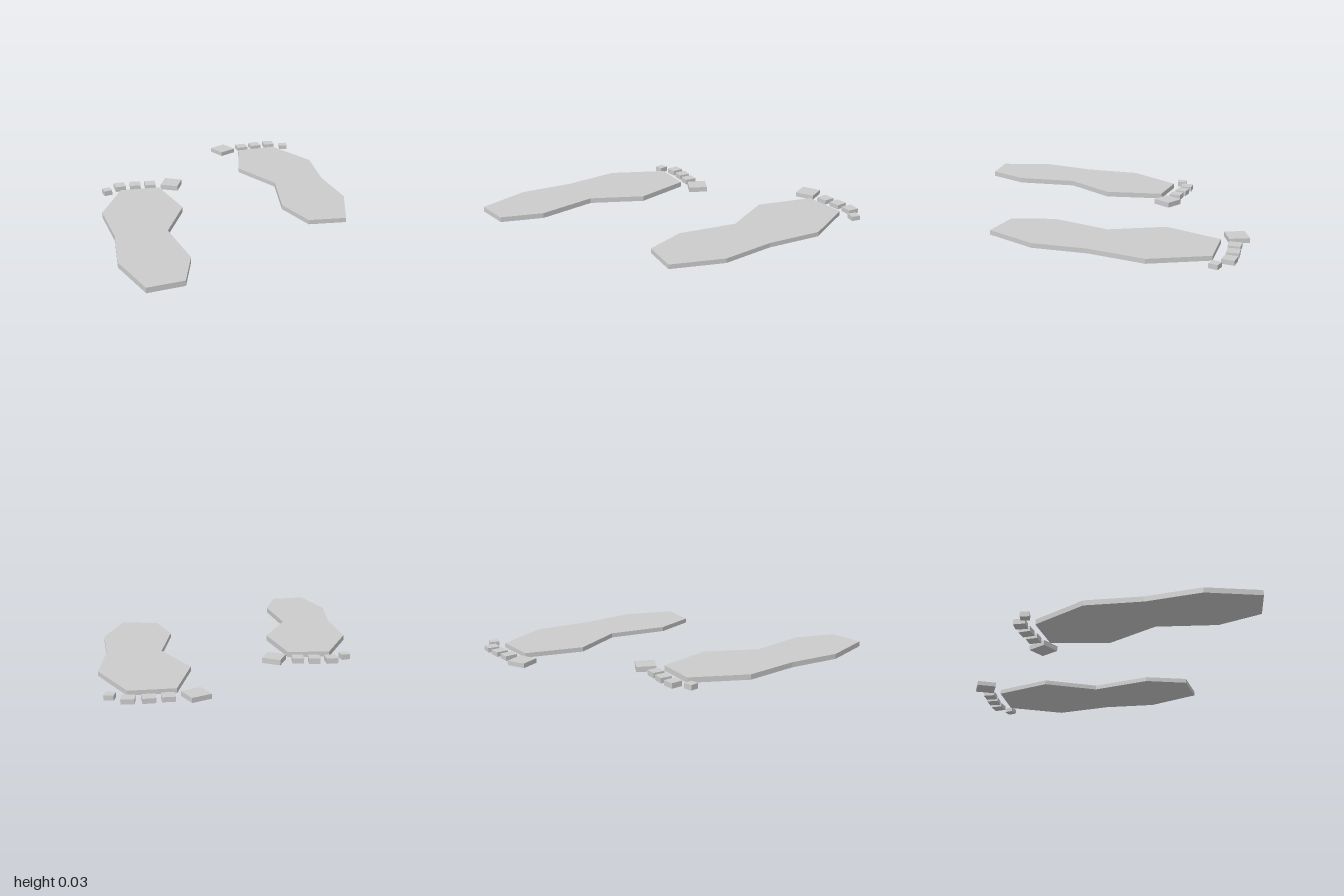
import * as THREE from 'three';

const material = new THREE.MeshStandardMaterial({ color: 0xcccccc, flatShading: true });

// Sole outline of the left foot, seen from above as [x, z]
const SOLE = [
  [0.325, -0.85], [0.59, -0.865], [0.76, -0.54], [0.727, -0.2], [0.757, 0.127],
  [0.648, 0.44], [0.42, 0.415], [0.333, 0.164], [0.397, -0.196], [0.235, -0.503],
];

// Toes of the left foot: name, centre x, centre z, size, turn
const TOES = [
  ['bigToe', 0.225, -0.92, 0.12, 0.46],
  ['secondToe', 0.373, -0.94, 0.073, 0.06],
  ['thirdToe', 0.476, -0.953, 0.073, 0.09],
  ['fourthToe', 0.583, -0.957, 0.073, -0.07],
  ['littleToe', 0.68, -0.9, 0.055, -0.2],
];

// Corners of a turned square in plan
function square(cx, cz, size, turn) {
  const r = size / Math.SQRT2;
  return [0, 1, 2, 3].map((i) => {
    const a = -turn + Math.PI / 4 + (i * Math.PI) / 2;
    return [cx + r * Math.cos(a), cz + r * Math.sin(a)];
  });
}

// Flat slab standing on y = 0 with the given plan outline
function slab(name, outline, height) {
  const shape = new THREE.Shape(outline.map(([x, z]) => new THREE.Vector2(x, -z)));
  const geometry = new THREE.ExtrudeGeometry(shape, { depth: height, bevelEnabled: false });
  geometry.rotateX(-Math.PI / 2);
  const mesh = new THREE.Mesh(geometry, material);
  mesh.name = name;
  return mesh;
}

// One footprint; place() maps the left-foot plan to its final position
function footprint(name, height, place) {
  const foot = new THREE.Group();
  foot.name = name;
  foot.add(slab('sole', SOLE.map(place), height));
  for (const [toe, x, z, size, turn] of TOES) {
    foot.add(slab(toe, square(x, z, size, turn).map(place), height));
  }
  return foot;
}

export function createModel() {
  const model = new THREE.Group();
  model.name = 'footprints';
  model.add(footprint('leftFoot', 0.028, (p) => p));
  // Mirrored, slightly narrower and thicker, one step behind
  model.add(footprint('rightFoot', 0.032, ([x, z]) => [-(0.937 * x + 0.055), z + 0.555]));
  return model;
}
